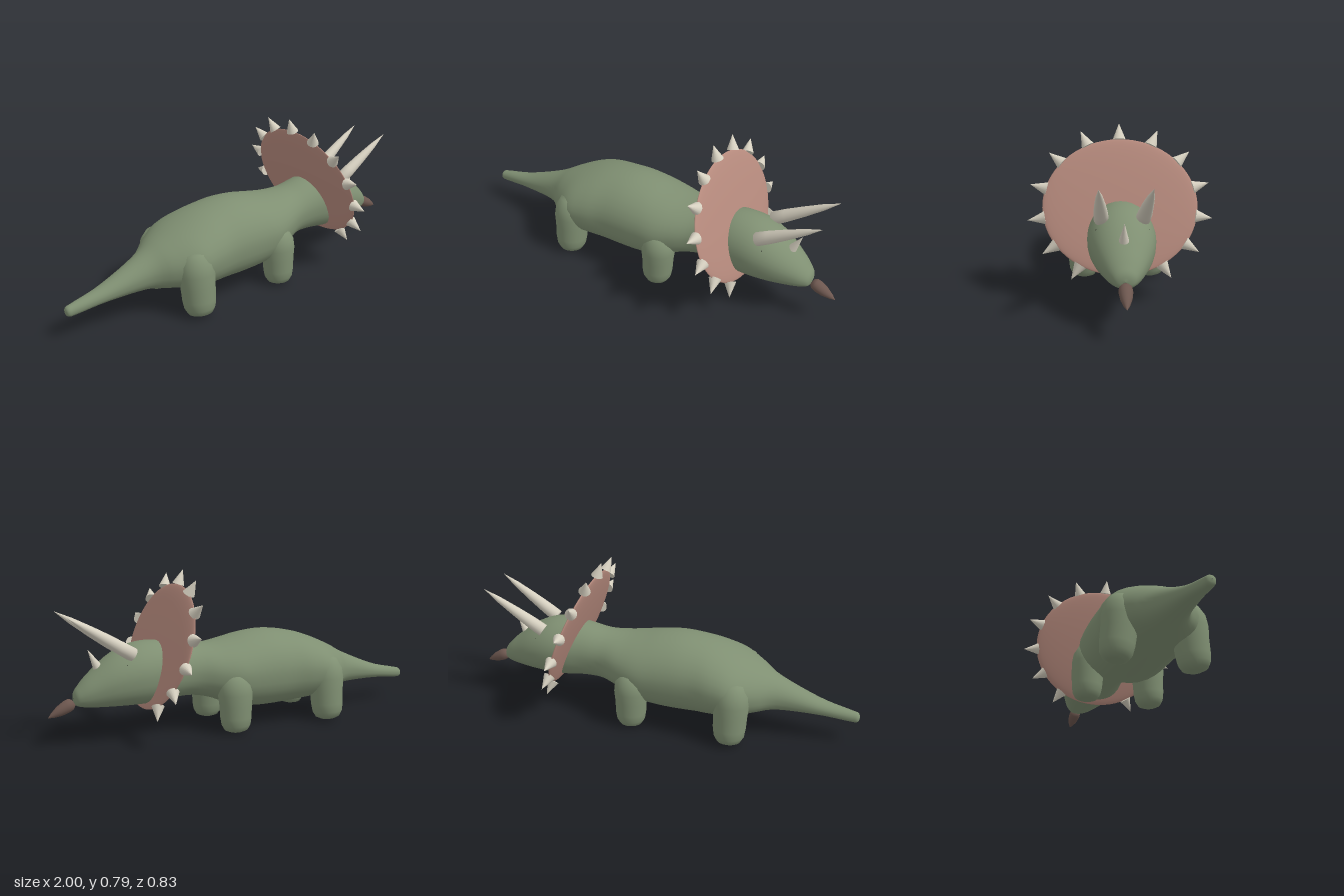
import * as THREE from 'three';

const mat = (name, color) => {
  const m = new THREE.MeshStandardMaterial({ color });
  m.name = name;
  return m;
};

// Smooth loft along x through stations of [x, top, bottom, half width]
function loft(stations, rings = 90, sides = 32) {
  const heights = new THREE.CatmullRomCurve3(
    stations.map(([x, t, b]) => new THREE.Vector3(x, t, b)), false, 'catmullrom');
  const widths = new THREE.CatmullRomCurve3(
    stations.map(([x, , , w]) => new THREE.Vector3(x, w, 0)), false, 'catmullrom');
  const pos = [], idx = [];
  for (let i = 0; i <= rings; i++) {
    const h = heights.getPoint(i / rings), w = widths.getPoint(i / rings).y;
    const mid = (h.y + h.z) / 2, half = (h.y - h.z) / 2;
    for (let j = 0; j < sides; j++) {
      const a = (j / sides) * Math.PI * 2, c = Math.cos(a), s = Math.sin(a);
      // Belly is a little squarer than the back
      const p = s < 0 ? 0.85 : 1;
      pos.push(h.x, mid + half * Math.sign(s) * Math.abs(s) ** p,
        w * Math.sign(c) * Math.abs(c) ** p);
      if (i < rings) {
        const k = i * sides + j, n = i * sides + (j + 1) % sides;
        idx.push(k, k + sides, n, n, k + sides, n + sides);
      }
    }
  }
  const g = new THREE.BufferGeometry();
  g.setAttribute('position', new THREE.Float32BufferAttribute(pos, 3));
  g.setIndex(idx);
  g.computeVertexNormals();
  return g;
}

const lathe = (pts, sides = 24) =>
  new THREE.LatheGeometry(pts.map(([r, y]) => new THREE.Vector2(r, y)), sides);

export function createModel() {
  const model = new THREE.Group();
  const green = mat('skinGreen', 0x7f8f72), pink = mat('frillPink', 0xb68a7d);
  const bone = mat('hornBone', 0xd5cfbf), brown = mat('beakBrown', 0x6d574f);
  const dark = mat('eyeDark', 0x22221f);

  const add = (name, geometry, material, parent = model) => {
    const m = new THREE.Mesh(geometry, material);
    m.name = name;
    parent.add(m);
    return m;
  };
  // Stand a +y pointing mesh on one point, aimed at another
  const aim = (mesh, from, to) => {
    const a = new THREE.Vector3(...from), d = new THREE.Vector3(...to).sub(a);
    mesh.position.copy(a);
    mesh.quaternion.setFromUnitVectors(new THREE.Vector3(0, 1, 0), d.clone().normalize());
    mesh.scale.y = d.length();
    return mesh;
  };

  // Tail, trunk, neck and head in one skin
  add('body', loft([
    [-1, 0.146, 0.144, 0.001], [-0.99, 0.166, 0.121, 0.022], [-0.95, 0.177, 0.12, 0.028],
    [-0.8, 0.215, 0.135, 0.048], [-0.6, 0.3, 0.137, 0.09], [-0.5, 0.355, 0.125, 0.165],
    [-0.4, 0.402, 0.108, 0.232], [-0.3, 0.438, 0.097, 0.235], [-0.2, 0.46, 0.09, 0.222],
    [-0.1, 0.469, 0.087, 0.22], [0, 0.461, 0.092, 0.218], [0.1, 0.442, 0.11, 0.212],
    [0.2, 0.428, 0.155, 0.18], [0.3, 0.43, 0.178, 0.14], [0.4, 0.45, 0.178, 0.135],
    [0.5, 0.465, 0.168, 0.148], [0.6, 0.455, 0.168, 0.15], [0.7, 0.41, 0.172, 0.13],
    [0.8, 0.332, 0.178, 0.088], [0.85, 0.282, 0.186, 0.058], [0.87, 0.255, 0.196, 0.036],
    [0.877, 0.226, 0.224, 0.001],
  ]), green);

  // Stubby rounded legs
  const leg = lathe([[0, 0], [0.035, 0.002], [0.06, 0.013], [0.075, 0.04], [0.081, 0.08],
    [0.084, 0.15], [0.09, 0.21], [0.085, 0.26], [0.06, 0.31], [0, 0.34]], 28);
  for (const s of [1, -1]) {
    const side = s > 0 ? 'Left' : 'Right';
    const rear = add('rearLeg' + side, leg, green);
    rear.position.set(-0.395, 0.005, s * 0.192);
    rear.rotation.x = -s * 0.12;
    const front = add('frontLeg' + side, leg, green);
    front.position.set(0.12, 0.003, s * 0.166);
    front.scale.set(0.95, 0.9, 0.92);
    front.rotation.x = -s * 0.05;
  }

  // Tilted neck frill with a ring of spikes, open at the bottom
  const frill = new THREE.Group();
  frill.name = 'frill';
  frill.position.set(0.447, 0.432, 0);
  frill.rotation.z = 0.342;
  model.add(frill);
  add('frillDisc', new THREE.SphereGeometry(1, 48, 32), pink, frill).scale.set(0.022, 0.308, 0.35);
  const spike = new THREE.ConeGeometry(0.03, 1, 16).translate(0, 0.5, 0);
  for (let i = -6; i <= 6; i++) {
    const t = i * 0.43, c = Math.cos(t), s = Math.sin(t);
    aim(add('frillSpike', spike, bone, frill), [0, 0.306 * c, 0.342 * s], [0, 0.381 * c, 0.42 * s]);
  }

  // Brow horns, eyes, nose horn
  const horn = lathe([[0, 0], [0.033, 0], [0.031, 0.2], [0.025, 0.45], [0.015, 0.75], [0, 1]], 20);
  for (const s of [1, -1]) {
    const side = s > 0 ? 'Left' : 'Right';
    aim(add('browHorn' + side, horn, bone), [0.615, 0.422, s * 0.091], [0.922, 0.62, s * 0.109]);
    add('eye' + side, new THREE.SphereGeometry(0.004, 8, 6), dark).position.set(0.65, 0.38, s * 0.112);
  }
  aim(add('noseHorn', new THREE.ConeGeometry(0.022, 1, 16).translate(0, 0.5, 0), bone),
    [0.757, 0.362, 0], [0.802, 0.45, 0]);

  // Teardrop beak just ahead of the snout
  aim(add('beak', lathe([[0, 0], [0.018, 0.02], [0.028, 0.12], [0.03, 0.28],
    [0.025, 0.55], [0.013, 0.82], [0, 1]], 20), brown), [0.875, 0.208, 0], [0.998, 0.148, 0]);

  return model;
}
